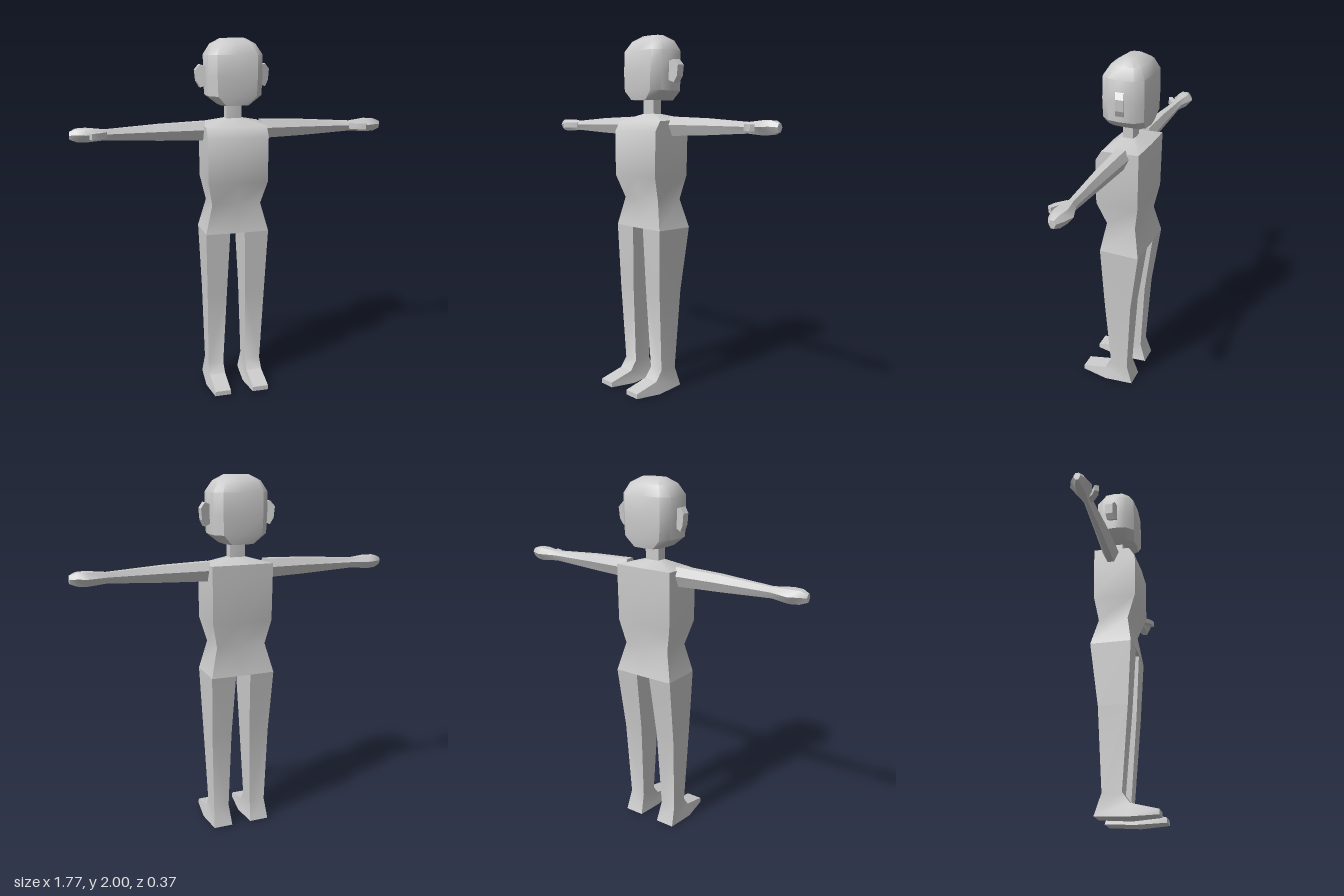
import * as THREE from 'three';
import { toCreasedNormals } from 'three/addons/utils/BufferGeometryUtils.js';

const material = new THREE.MeshStandardMaterial({ color: 0xcccccc });

// Closed skin over rings of [x, y, z] points; both ends are capped
function loft(name, rings, crease = 0.7) {
  const n = rings[0].length;
  const points = rings.flat().map((p) => new THREE.Vector3(...p));
  const triangles = [];
  for (let r = 0; r < rings.length - 1; r++) {
    for (let i = 0; i < n; i++) {
      const a = r * n + i, b = r * n + (i + 1) % n;
      triangles.push([a, b, b + n], [a, b + n, a + n]);
    }
  }
  const last = (rings.length - 1) * n;
  for (let i = 1; i < n - 1; i++) {
    triangles.push([0, i + 1, i], [last, last + i, last + i + 1]);
  }
  // Turn the faces outward whichever way the rings run
  const centre = new THREE.Vector3();
  points.forEach((p) => centre.addScaledVector(p, 1 / points.length));
  const rel = points.map((p) => p.clone().sub(centre));
  let volume = 0;
  for (const [a, b, c] of triangles) volume += rel[a].dot(rel[b].clone().cross(rel[c]));
  const index = triangles.flatMap(([a, b, c]) => (volume < 0 ? [a, c, b] : [a, b, c]));

  const geometry = new THREE.BufferGeometry().setFromPoints(points);
  geometry.setIndex(index);
  const mesh = new THREE.Mesh(toCreasedNormals(geometry, crease), material);
  mesh.name = name;
  return mesh;
}

// Torso and neck: front height, back height, half width, front z, back z
function createTorso() {
  const sections = [
    [0.94, 0.94, 0.18, 0.048, -0.178],
    [1.10, 1.10, 0.139, 0.022, -0.143],
    [1.23, 1.235, 0.168, 0.07, -0.167],
    [1.48, 1.48, 0.17, 0.07, -0.17],
    [1.535, 1.545, 0.17, 0.036, -0.17],
    [1.575, 1.575, 0.042, -0.03, -0.086],
    [1.68, 1.68, 0.042, -0.03, -0.086],
  ];
  return loft('torso', sections.map(([yf, yb, w, zf, zb]) => [
    [-w, yf, zf], [0, yf, zf + 0.006], [w, yf, zf],
    [w, yb, zb], [0, yb, zb - 0.004], [-w, yb, zb],
  ]));
}

// Head: height, half width, front z, back z
function createHead() {
  const sections = [
    [1.65, 0.085, 0.05, -0.168],
    [1.70, 0.152, 0.059, -0.178],
    [1.80, 0.157, 0.061, -0.18],
    [1.915, 0.157, 0.056, -0.178],
    [1.97, 0.122, 0.02, -0.15],
    [2.0, 0.068, -0.03, -0.095],
  ];
  return loft('head', sections.map(([y, w, zf, zb]) => {
    const d = zf - zb;
    const half = [
      [0.7, zf - 0.03 * d], [0.95, zf - 0.22 * d], [1, zf - 0.5 * d],
      [0.95, zb + 0.2 * d], [0.7, zb + 0.03 * d],
    ];
    return [
      [0, y, zf],
      ...half.map(([k, z]) => [k * w, y, z]),
      [0, y, zb],
      ...half.reverse().map(([k, z]) => [-k * w, y, z]),
    ];
  }));
}

// Ear: faceted outline swept backwards
function createEar(side) {
  const outline = [
    [0.14, 1.76], [0.14, 1.85], [0.182, 1.865],
    [0.206, 1.835], [0.2, 1.775], [0.182, 1.742],
  ];
  return loft('ear', [-0.04, -0.085].map((z) =>
    outline.map(([x, y]) => [side * x, y, z - (x - 0.155) * 0.35])), 0.3);
}

// Arm and mitten hand: x, centre y, half height, centre z, half depth
function createArm(side) {
  const sections = [
    [0.16, 1.507, 0.052, -0.071, 0.047],
    [0.41, 1.507, 0.044, -0.067, 0.038],
    [0.70, 1.505, 0.028, -0.067, 0.024],
    [0.80, 1.506, 0.036, -0.071, 0.057],
    [0.85, 1.507, 0.034, -0.07, 0.04],
    [0.885, 1.506, 0.02, -0.068, 0.018],
  ];
  return loft('arm', sections.map(([x, y, h, z, d]) => [
    [side * x, y + h, z - 0.5 * d], [side * x, y + h, z + 0.5 * d],
    [side * x, y + 0.15 * h, z + d], [side * x, y - h, z + 0.4 * d],
    [side * x, y - h, z - 0.4 * d], [side * x, y + 0.15 * h, z - d],
  ]));
}

// Thumb: x, centre z, half width
function createThumb(side) {
  const sections = [[0.7, -0.057, 0.018], [0.745, -0.012, 0.013], [0.777, 0.003, 0.01]];
  return loft('thumb', sections.map(([x, z, w]) => [
    [side * (x - 0.6 * w), 1.523, z + w], [side * (x + 0.6 * w), 1.523, z - w],
    [side * (x + 0.6 * w), 1.49, z - w], [side * (x - 0.6 * w), 1.49, z + w],
  ]));
}

// Leg and foot: front edge then back edge, each [centre x, half width, y, z]
function createLeg(side) {
  const foot = side < 0 ? 0.12 : 0.104;
  const knee = (0.111 + foot) / 2;
  const sections = [
    [[0.111, 0.069, 0.94, 0.048], [0.111, 0.069, 0.94, -0.178]],
    [[knee, 0.057, 0.58, 0.031], [knee, 0.057, 0.58, -0.13]],
    [[foot, 0.045, 0.125, 0], [foot, 0.045, 0.125, -0.104]],
    [[foot, 0.046, 0.07, 0.04], [foot, 0.055, 0.01, -0.14]],
    [[foot, 0.045, 0.035, 0.185], [foot, 0.066, 0, 0.03]],
    [[foot, 0.045, 0.034, 0.185], [foot, 0.047, 0.008, 0.185]],
  ];
  return loft('leg', sections.map(([front, back]) => {
    const edge = ([x, w, y, z], s) => [side * (x + s * w), y, z];
    return [edge(front, -1), edge(front, 1), edge(back, 1), edge(back, -1)];
  }));
}

export function createModel() {
  const model = new THREE.Group();
  model.name = 'figure';
  model.add(createTorso(), createHead());
  const makers = { Ear: createEar, Arm: createArm, Thumb: createThumb, Leg: createLeg };
  for (const side of [-1, 1]) {
    for (const [part, make] of Object.entries(makers)) {
      const mesh = make(side);
      mesh.name = (side > 0 ? 'left' : 'right') + part;
      model.add(mesh);
    }
  }
  return model;
}
